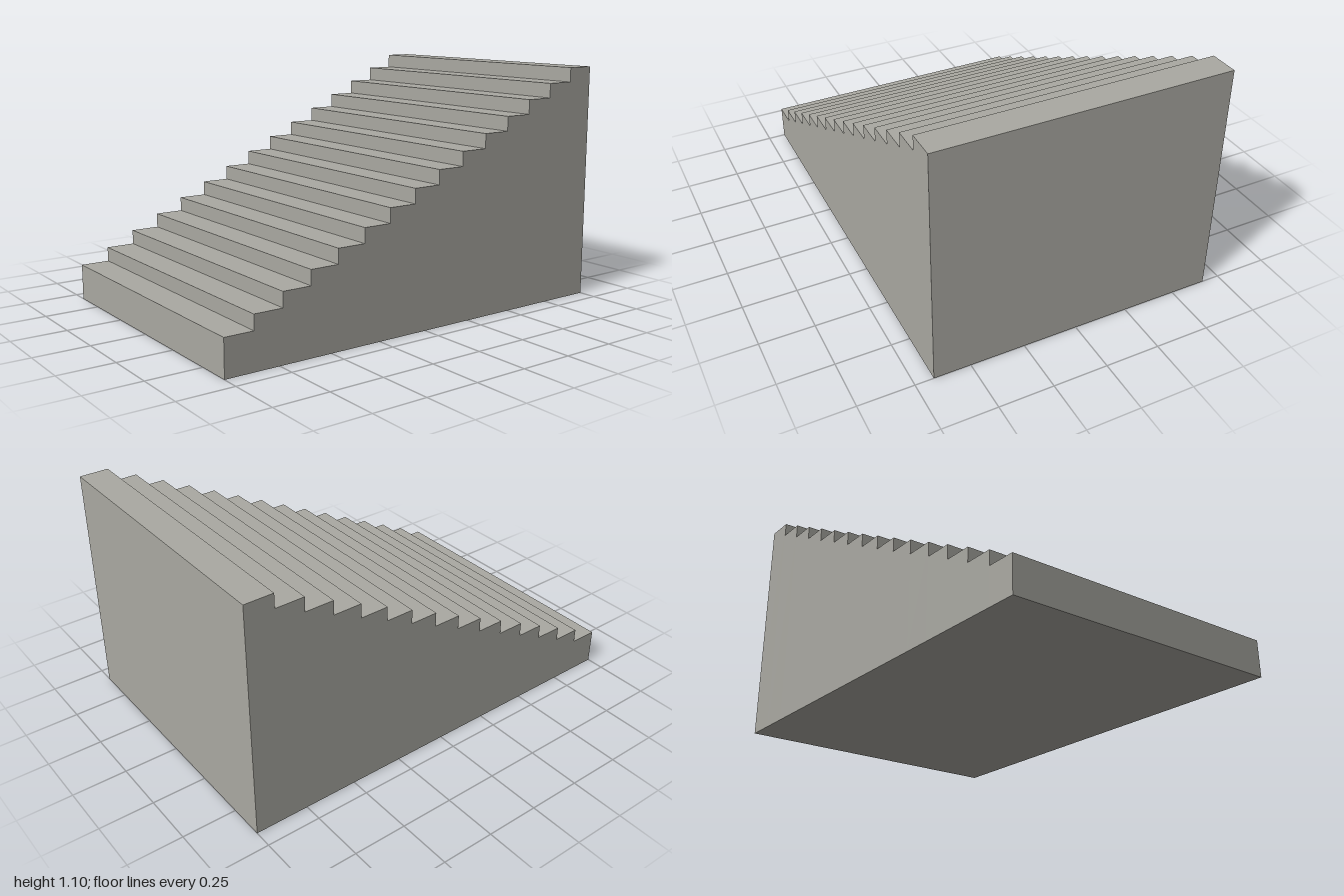
import * as THREE from 'three';

const STEPS = 15;
const WIDTH = 4 / 3;
const DEPTH = 2 / STEPS;       // tread depth
const FIRST = 1 / 6;           // height of the lowest step
const RISE = 1 / 15;           // height gained per step

export function createModel() {
  const group = new THREE.Group();
  group.name = 'staircase';
  const stone = new THREE.MeshStandardMaterial({ color: 0xaaa9a2 });
  stone.name = 'warm grey stone';

  // Solid blocks from the floor up, rising from front to back
  for (let i = 0; i < STEPS; i++) {
    const height = FIRST + i * RISE;
    const step = new THREE.Mesh(new THREE.BoxGeometry(WIDTH, height, DEPTH), stone);
    step.name = `step${i + 1}`;
    step.position.set(0, height / 2, 1 - (i + 0.5) * DEPTH);
    group.add(step);
  }
  return group;
}
